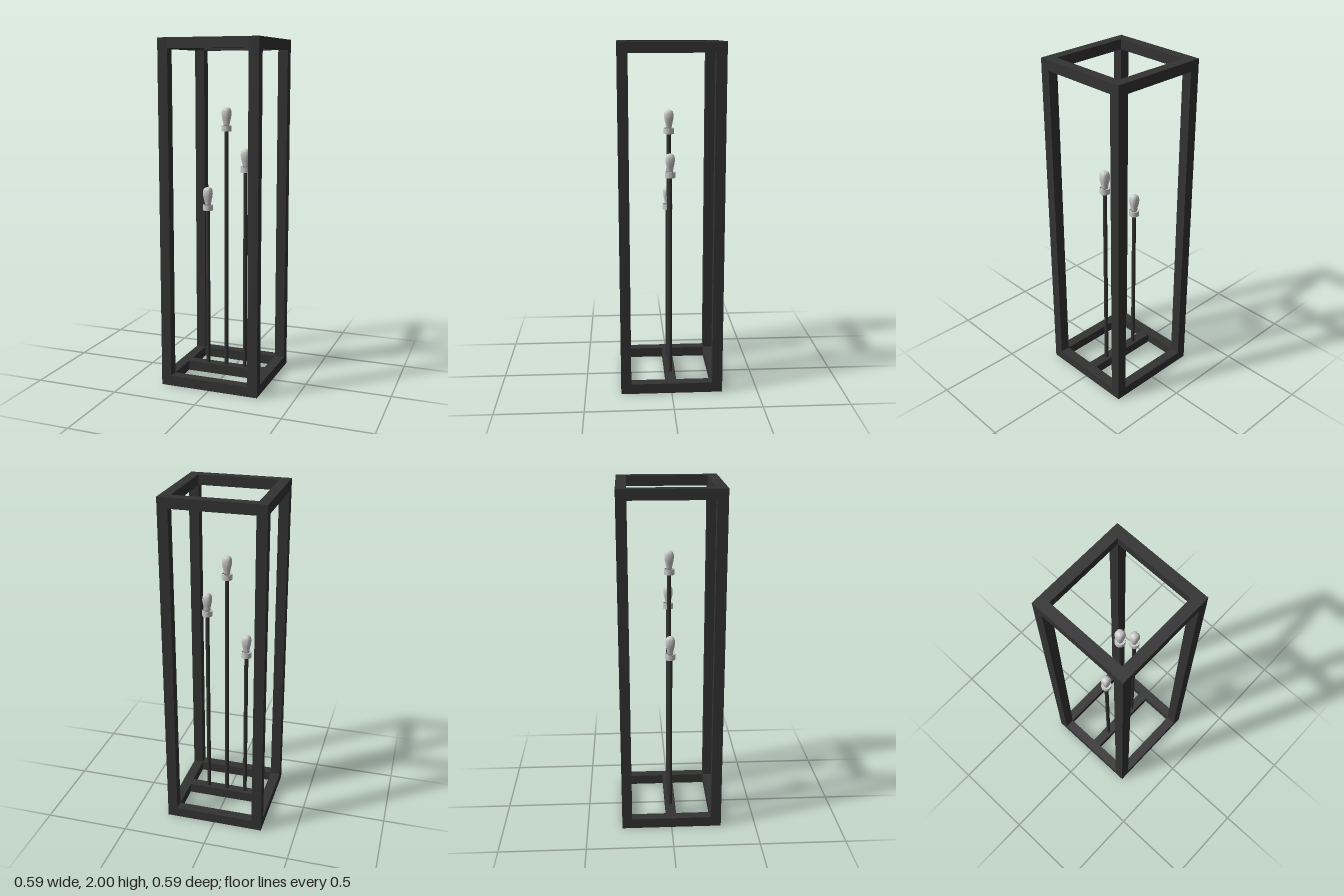
import * as THREE from 'three';

const H = 0.294, B = 0.059, C = H - B / 2; // frame half width, beam size, beam centre line
const dark = new THREE.MeshStandardMaterial({ color: 0x333333 });
const grey = new THREE.MeshStandardMaterial({ color: 0xcccccc });
const greyOpen = new THREE.MeshStandardMaterial({ color: 0xcccccc, side: THREE.DoubleSide, flatShading: true });

function add(parent, name, geometry, material, x = 0, y = 0, z = 0) {
  const mesh = new THREE.Mesh(geometry, material);
  mesh.name = name;
  mesh.position.set(x, y, z);
  parent.add(mesh);
  return mesh;
}

const lathe = (points, segments) =>
  new THREE.LatheGeometry(points.map(([r, y]) => new THREE.Vector2(r, y)), segments);

// Bulb: a turned profile whose cross-section is a rounded square
function bulbGeometry() {
  const geo = lathe([[0.001, 0], [0.016, 0.001], [0.017, 0.015], [0.021, 0.035], [0.025, 0.052],
    [0.027, 0.07], [0.026, 0.088], [0.022, 0.1], [0.016, 0.106], [0.008, 0.109], [0, 0.11]], 24);
  const p = geo.attributes.position;
  for (let i = 0; i < p.count; i++) {
    const x = p.getX(i), z = p.getZ(i), r = Math.hypot(x, z);
    if (r < 1e-6) continue;
    const k = r / Math.pow(Math.abs(x) ** 3 + Math.abs(z) ** 3, 1 / 3);
    p.setX(i, x * k);
    p.setZ(i, z * k);
  }
  geo.computeVertexNormals();
  return geo;
}

export function createModel() {
  const model = new THREE.Group();

  // Open box frame: four posts, and a square of rails at the bottom and top
  const frame = new THREE.Group();
  frame.name = 'frame';
  model.add(frame);
  const post = new THREE.BoxGeometry(B, 2, B);
  const railX = new THREE.BoxGeometry(2 * (H - B), B, B);
  const railZ = new THREE.BoxGeometry(B, B, 2 * (H - B));
  for (const s of [-1, 1]) {
    for (const t of [-1, 1]) add(frame, 'post', post, dark, s * C, 1, t * C);
    for (const y of [B / 2, 2 - B / 2]) {
      add(frame, 'sideRail', railZ, dark, s * C, y, 0);
      add(frame, 'crossRail', railX, dark, 0, y, s * C);
    }
  }
  add(frame, 'baseBar', railX, dark, 0, B / 2, 0);

  // Three lamps of different heights standing on the base bar
  const socket = lathe([[0, 0], [0.03, 0], [0.03, 0.033], [0.027, 0.033], [0.027, 0.024], [0, 0.024]], 24);
  const bulb = bulbGeometry();
  for (const [x, top] of [[-0.118, 1.005], [0, 1.476], [0.118, 1.241]]) {
    const lamp = new THREE.Group();
    lamp.name = 'lamp';
    lamp.position.x = x;
    model.add(lamp);
    const length = top - B;
    add(lamp, 'rod', new THREE.CylinderGeometry(0.012, 0.012, length, 16), dark, 0, B + length / 2, 0);
    add(lamp, 'socket', socket, greyOpen, 0, top, 0);
    add(lamp, 'bulb', bulb, grey, 0, top + 0.028, 0);
  }
  return model;
}
